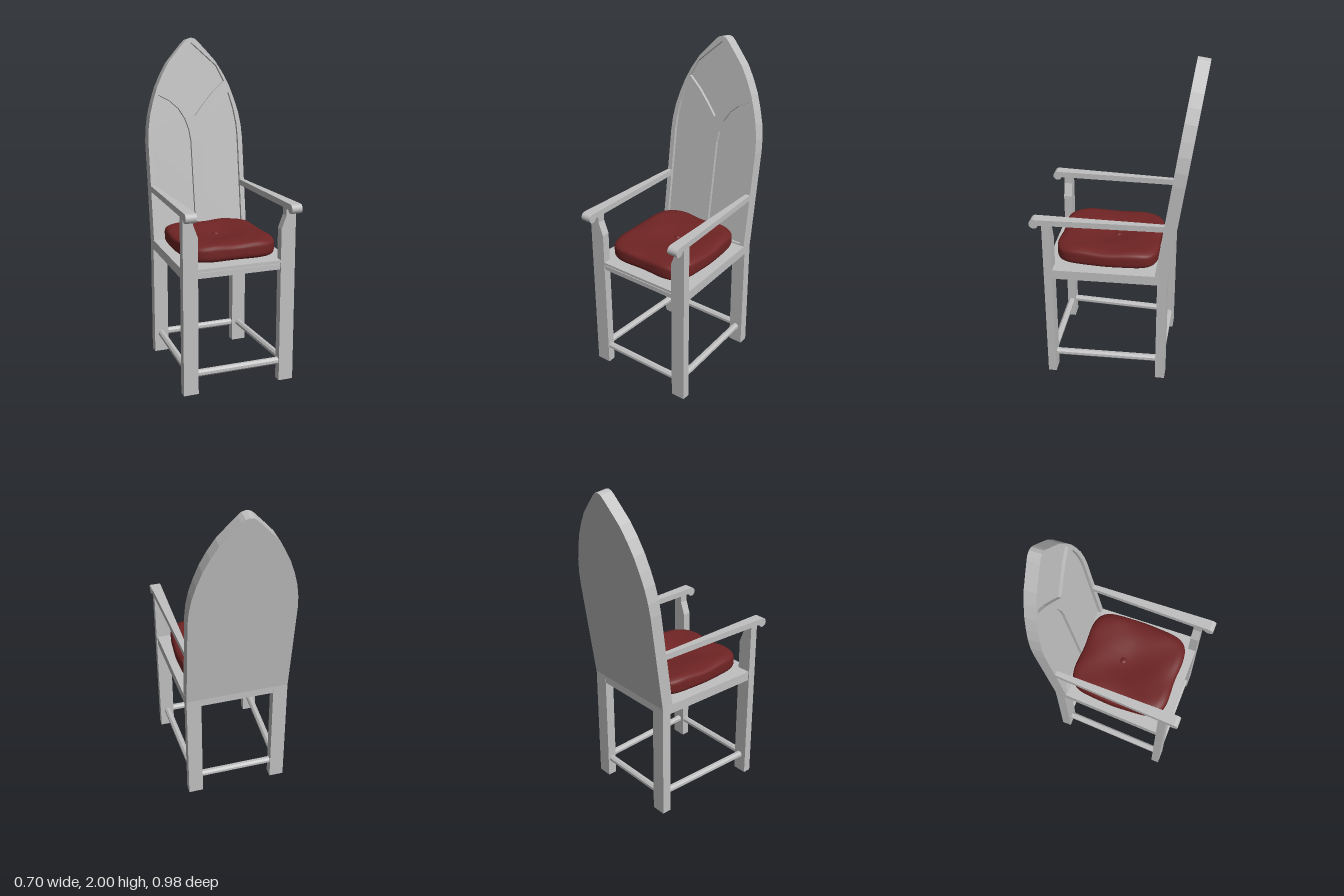
import * as THREE from 'three';
import { mergeVertices } from 'three/addons/utils/BufferGeometryUtils.js';

export function createModel() {
  const model = new THREE.Group();
  model.name = 'highBackChair';
  const grey = new THREE.MeshStandardMaterial({ color: 0xc0c0c0 });
  grey.name = 'grey frame';
  const red = new THREE.MeshStandardMaterial({ color: 0x702424 });
  red.name = 'dark red cushion';

  const add = (name, geometry, material = grey, parent = model) => {
    const mesh = new THREE.Mesh(geometry, material);
    mesh.name = name;
    parent.add(mesh);
    return mesh;
  };
  const path = (points) => points.map(([x, y]) => new THREE.Vector2(x, y));
  const extrude = (shape, depth) => new THREE.ExtrudeGeometry(shape, { depth, bevelEnabled: false });
  // Prism with an outline in the ground plane, given as [x, z] points
  const slab = (points, y0, y1) => {
    const g = extrude(new THREE.Shape(path(points.map(([x, z]) => [x, -z]))), y1 - y0);
    return g.rotateX(-Math.PI / 2).translate(0, y0, 0);
  };
  const box = (x0, x1, y0, y1, z0, z1) =>
    new THREE.BoxGeometry(x1 - x0, y1 - y0, z1 - z0).translate((x0 + x1) / 2, (y0 + y1) / 2, (z0 + z1) / 2);
  // Chamfered bar between two points
  const bar = (name, a, b) => {
    const start = new THREE.Vector3(...a), end = new THREE.Vector3(...b);
    const r = 0.02 / Math.cos(Math.PI / 8);
    const g = new THREE.CylinderGeometry(r, r, start.distanceTo(end), 8, 1, false, Math.PI / 8).toNonIndexed();
    g.computeVertexNormals();
    const mesh = add(name, g);
    mesh.position.copy(start).add(end).multiplyScalar(0.5);
    mesh.quaternion.setFromUnitVectors(new THREE.Vector3(0, 1, 0), end.sub(start).normalize());
  };

  // Legs, arms and side stretchers
  for (const [side, s] of [['left', 1], ['right', -1]]) {
    const legOutline = [[0.255, 0], [0.345, 0], [0.345, 1.065], [0.285, 1.065], [0.285, 1.02], [0.255, 0.94]];
    const leg = extrude(new THREE.Shape(path(legOutline.map(([x, y]) => [s * x, y]))), 0.05);
    add(side + 'FrontLeg', leg.translate(0, 0, 0.37));
    add(side + 'BackLeg', box(s > 0 ? 0.225 : -0.315, s > 0 ? 0.315 : -0.225, 0, 0.755, -0.315, -0.257));
    const armOutline = [[0.285, -0.31], [0.314, -0.31], [0.35, 0.465], [0.285, 0.465]];
    add(side + 'Arm', slab(armOutline.map(([x, z]) => [s * x, z]), 1.06, 1.096));
    const scroll = new THREE.CylinderGeometry(0.028, 0.028, 0.065, 20).rotateZ(Math.PI / 2);
    add(side + 'ArmScroll', scroll.translate(s * 0.3175, 1.068, 0.465));
    bar(side + 'Stretcher', [s * 0.295, 0.12, 0.375], [s * 0.27, 0.12, -0.262]);
  }
  bar('frontStretcher', [-0.26, 0.12, 0.395], [0.26, 0.12, 0.395]);
  bar('backStretcher', [-0.23, 0.12, -0.286], [0.23, 0.12, -0.286]);

  // Seat board with a moulded front rail
  add('seat', slab([[-0.314, -0.314], [0.314, -0.314], [0.34, 0.385], [-0.34, 0.385]], 0.696, 0.755));
  add('frontRail', box(-0.256, 0.256, 0.696, 0.746, 0.38, 0.408));
  add('frontRailTop', box(-0.256, 0.256, 0.74, 0.755, 0.38, 0.42));
  add('frontRailMoulding', box(-0.256, 0.256, 0.71, 0.732, 0.38, 0.416));

  // Leaning pointed-arch back: solid panel behind a tracery frame
  const tilt = Math.atan(0.14), baseY = 0.755;
  const lean = (points) => path(points.map(([x, y]) => [x, (y - baseY) / Math.cos(tilt)]));
  const mirrored = (half) => [...half, ...half.slice().reverse().filter(([x]) => x > 0).map(([x, y]) => [-x, y])];
  const arch = lean(mirrored([
    [0.315, baseY], [0.315, 1.36], [0.31, 1.44], [0.295, 1.53], [0.272, 1.61], [0.24, 1.7],
    [0.2, 1.78], [0.155, 1.853], [0.1, 1.915], [0.045, 1.975], [0.025, 1.993], [0, 2.0],
  ]));
  const kite = mirrored([[0, 1.515], [0.06, 1.587], [0.13, 1.663], [0.207, 1.728], [0.16, 1.825], [0.08, 1.898], [0, 1.97]]);
  const lancet = [
    [0.03, 0.765], [0.033, 1.36], [0.042, 1.43], [0.065, 1.5], [0.105, 1.565], [0.16, 1.615], [0.235, 1.655],
    [0.262, 1.56], [0.28, 1.46], [0.285, 1.38], [0.285, 0.765],
  ];
  const back = new THREE.Group();
  back.name = 'backrest';
  back.position.set(0, baseY, -0.242);
  back.rotation.x = -tilt;
  model.add(back);
  add('backPanel', extrude(new THREE.Shape(arch), 0.055).translate(0, 0, -0.075), grey, back);
  const frame = new THREE.Shape(arch);
  for (const hole of [kite, lancet, lancet.map(([x, y]) => [-x, y])]) frame.holes.push(new THREE.Path(lean(hole)));
  add('backTracery', extrude(frame, 0.02).translate(0, 0, -0.02), grey, back);

  // Cushion: rounded block, pulled down at the centre and along its creases
  let cushion = new THREE.BoxGeometry(2, 2, 2, 32, 12, 32);
  cushion.deleteAttribute('uv');
  cushion.deleteAttribute('normal');
  cushion = mergeVertices(cushion);
  const pos = cushion.attributes.position, v = new THREE.Vector3(), n = 5;
  for (let i = 0; i < pos.count; i++) {
    v.fromBufferAttribute(pos, i);
    v.divideScalar((Math.abs(v.x) ** n + Math.abs(v.y) ** n + Math.abs(v.z) ** n) ** (1 / n));
    const r2 = v.x * v.x + v.z * v.z, top = Math.max(0, v.y);
    const dip = 0.04 * Math.exp(-r2 / 0.35) + 0.006 * (1 + Math.cos(v.x * 7) * Math.cos(v.z * 6)) * Math.min(1, r2);
    const bulge = 1 + 0.012 * Math.cos(6 * Math.atan2(v.z, v.x));
    pos.setXYZ(i, v.x * 0.284 * bulge, 0.816 + v.y * 0.064 - top * dip, 0.062 + v.z * 0.308 * bulge);
  }
  cushion.computeVertexNormals();
  add('cushion', cushion, red);
  const button = add('cushionButton', new THREE.SphereGeometry(0.022, 20, 12), red);
  button.scale.y = 0.6;
  button.position.set(0, 0.838, 0.022);

  return model;
}
